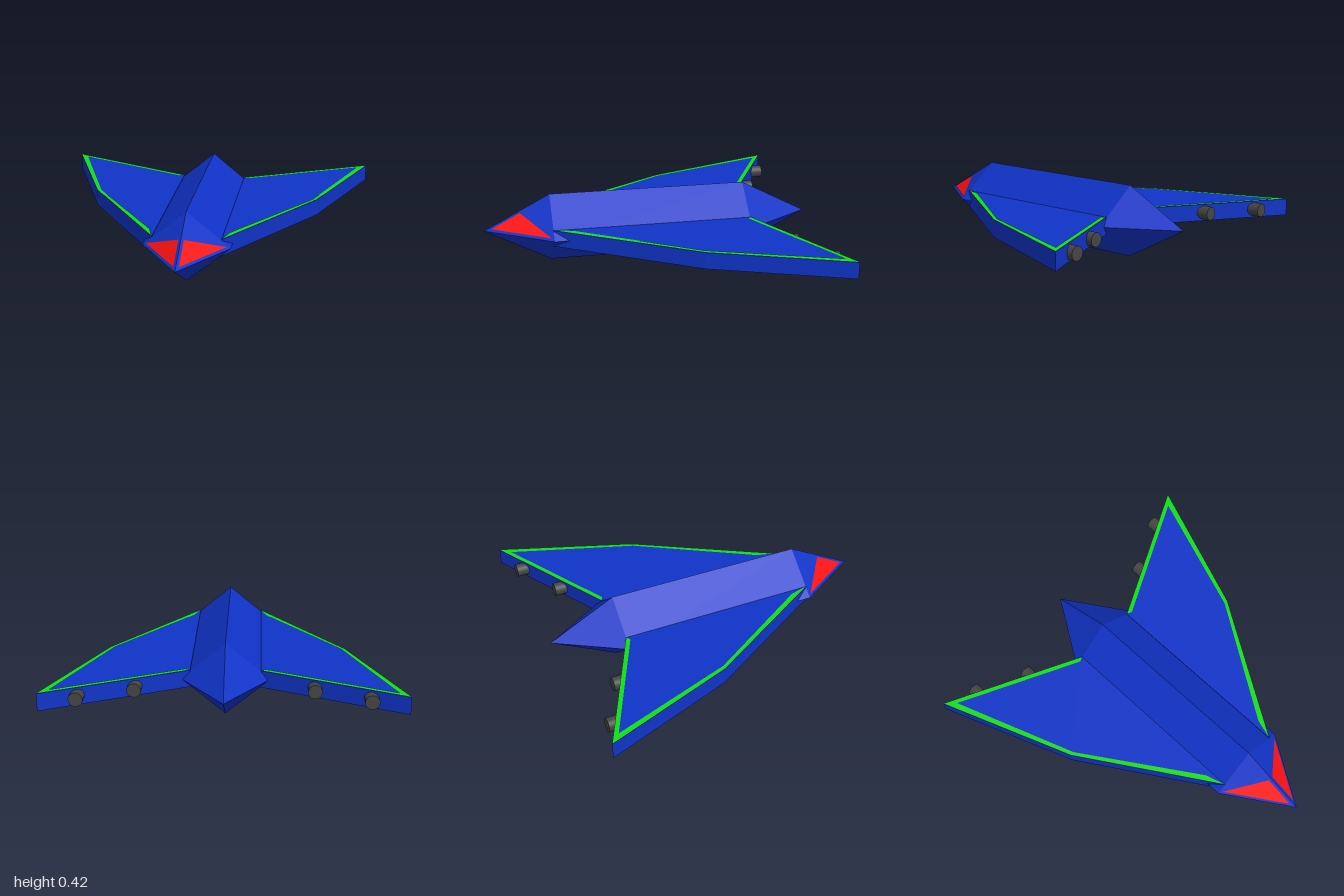
import * as THREE from 'three';

const paint = (color, flatShading = true) => new THREE.MeshStandardMaterial({ color, flatShading });
const V = (x, y) => new THREE.Vector2(x, y);

const HALF_WIDTH = 0.255, HALF_HEIGHT = 0.21, SHOULDER = 0.6;
const WING_BOTTOM = 0.16, WING_TOP = 0.26;

// Height of the upper nose facet above a plan position
const noseY = (x, z) =>
  HALF_HEIGHT + HALF_HEIGHT * (1 - Math.abs(x) / HALF_WIDTH - (z - SHOULDER) / (1 - SHOULDER));

// Plan outline given as [x, z] pairs, mirrored by side
const planShape = (points, side) => new THREE.Shape(points.map(([x, z]) => V(side * x, -z)));

export function createModel() {
  const model = new THREE.Group();
  const blue = paint(0x1033c8), green = paint(0x11dd18), red = paint(0xff1111);
  const dark = paint(0x444444, false);
  green.side = red.side = THREE.DoubleSide;

  const add = (name, geometry, material, parent = model) => {
    const mesh = new THREE.Mesh(geometry, material);
    mesh.name = name;
    parent.add(mesh);
    return mesh;
  };

  // Diamond-section hull, pointed at both ends
  const hull = new THREE.LatheGeometry([V(0, -1), V(1, -SHOULDER), V(1, SHOULDER), V(0, 1)], 4);
  hull.rotateX(Math.PI / 2).scale(HALF_WIDTH, HALF_HEIGHT, 1).translate(0, HALF_HEIGHT, 0);
  add('hull', hull, blue);

  const outline = [[0.2, 0.6], [0.7, -0.2], [1, -1], [0.2, -0.6]];
  const inset = [[0.23, -0.585], [0.94, -0.94], [0.675, -0.2], [0.235, 0.48]];

  for (const side of [1, -1]) {
    const half = new THREE.Group();
    half.name = side > 0 ? 'leftSide' : 'rightSide';
    model.add(half);

    // Slab wing
    const wing = new THREE.ExtrudeGeometry(planShape(outline, side),
      { depth: WING_TOP - WING_BOTTOM, bevelEnabled: false });
    add('wing', wing.rotateX(-Math.PI / 2).translate(0, WING_BOTTOM, 0), blue, half);

    // Border stripe along the leading and trailing edges
    const stripe = new THREE.ShapeGeometry(planShape([...outline, ...inset], side));
    add('wingStripe', stripe.rotateX(-Math.PI / 2).translate(0, WING_TOP + 0.003, 0), green, half);

    // Triangular cockpit window lying on the nose facet
    const corners = [[0.015, 0.78], [0.015, 0.955], [0.232, 0.615]];
    if (side < 0) corners.reverse();
    const pane = new THREE.BufferGeometry().setFromPoints(
      corners.map(([x, z]) => new THREE.Vector3(side * x, noseY(x, z) + 0.003, z + 0.001)));
    pane.computeVertexNormals();
    add('cockpitWindow', pane, red, half);

    // Thrusters set into the trailing edge
    for (const x of [0.5, 0.8]) {
      const thruster = new THREE.CylinderGeometry(0.04, 0.04, 0.11, 24).rotateX(Math.PI / 2);
      add('thruster', thruster, dark, half).position.set(side * x, 0.21, -0.5 - x / 2);
    }
  }
  return model;
}
